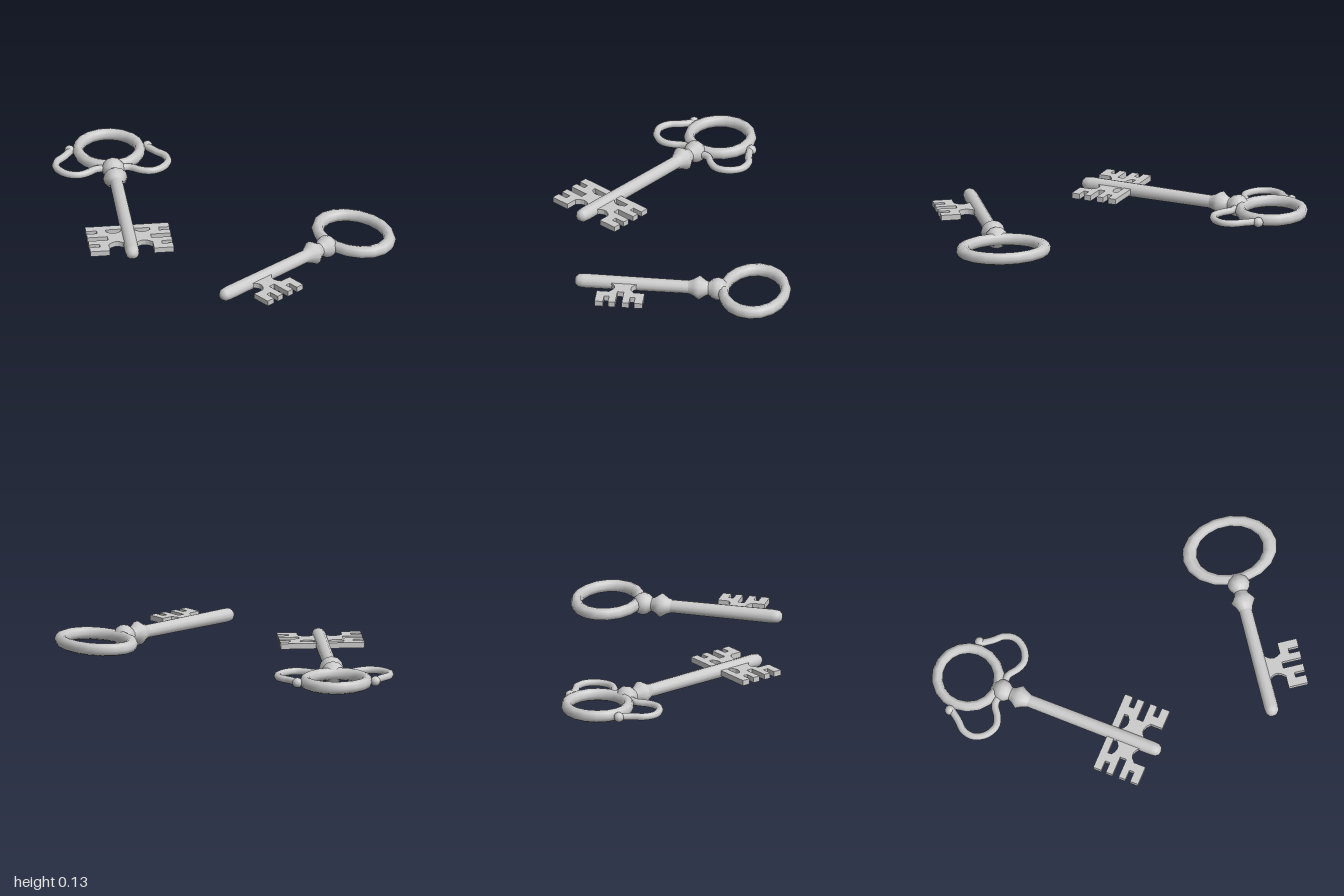
import * as THREE from 'three';

const material = new THREE.MeshStandardMaterial({ color: 0xcccccc });
const MID = 0.069; // height of the key axis above the ground

function addMesh(parent, name, geometry) {
  const mesh = new THREE.Mesh(geometry, material);
  mesh.name = name;
  parent.add(mesh);
  return mesh;
}

// Flat plate drawn in (across, along) coordinates, lying in the ground plane
function plate(shape, thickness) {
  const g = new THREE.ExtrudeGeometry(shape, { depth: thickness, bevelEnabled: false, curveSegments: 5 });
  return g.rotateX(Math.PI / 2).translate(0, thickness / 2, 0);
}

// Toothed bit on one side of the shaft: flared neck, then four teeth
function bitShape(side, start) {
  const s = new THREE.Shape();
  const X = (u) => side * u;
  s.moveTo(X(0), start + 0.04);
  s.lineTo(X(0.03), start + 0.05);
  s.quadraticCurveTo(X(0.07), start + 0.1, X(0.117), start + 0.06);
  const outline = [
    [0.117, 0], [0.222, 0], [0.222, 0.045], [0.165, 0.045], [0.165, 0.072],
    [0.222, 0.072], [0.222, 0.11], [0.115, 0.11], [0.115, 0.145], [0.222, 0.145],
    [0.222, 0.183], [0.165, 0.183], [0.165, 0.21], [0.222, 0.21], [0.222, 0.255],
    [0.117, 0.255], [0.117, 0.19],
  ];
  for (const [u, d] of outline) s.lineTo(X(u), start + d);
  s.quadraticCurveTo(X(0.07), start + 0.14, X(0.03), start + 0.19);
  s.lineTo(X(0), start + 0.2);
  return s;
}

// Key with its ring at the origin and its shaft running along +z
function makeKey({ name, length, bowWidth, bitStart, sides }) {
  const key = new THREE.Group();
  key.name = name;

  // Ring handle
  const ring = new THREE.TorusGeometry(0.164, 0.029, 8, 18);
  ring.rotateX(Math.PI / 2).scale(bowWidth, 1.18, 1);
  addMesh(key, 'ringHandle', ring);

  // Bead, collar and shaft with a rounded tip
  const turned = (pts) =>
    new THREE.LatheGeometry(pts.map(([r, d]) => new THREE.Vector2(r, d)), 12).rotateX(Math.PI / 2);
  addMesh(key, 'bead', turned([
    [0, 0.14], [0.032, 0.147], [0.054, 0.17], [0.061, 0.195], [0.054, 0.22], [0.034, 0.245], [0.034, 0.27],
  ]));
  addMesh(key, 'collar', turned([[0.034, 0.24], [0.042, 0.26], [0.065, 0.293], [0.045, 0.325], [0.036, 0.35]]));
  addMesh(key, 'shaft', turned([
    [0.035, 0.33], [0.038, length - 0.05], [0.034, length - 0.02], [0.02, length - 0.003], [0, length],
  ]));

  // Bits
  for (const side of sides) addMesh(key, 'bit', plate(bitShape(side, bitStart), 0.03));
  return key;
}

// Side loops beside the ring, each ending in a small knob
function addSideLoops(key) {
  const path = [
    [0.2, -0.015], [0.245, 0.045], [0.285, 0.088], [0.297, 0.15], [0.26, 0.212],
    [0.197, 0.24], [0.143, 0.225], [0.09, 0.19], [0.03, 0.19],
  ];
  for (const side of [1, -1]) {
    const curve = new THREE.CatmullRomCurve3(path.map(([u, d]) => new THREE.Vector3(side * u, 0, d)));
    addMesh(key, 'sideLoop', new THREE.TubeGeometry(curve, 28, 0.02, 8));
    const knob = new THREE.SphereGeometry(0.027, 10, 8);
    addMesh(key, 'loopKnob', knob).position.set(side * 0.207, 0, -0.02);
  }
}

export function createModel() {
  const model = new THREE.Group();
  model.name = 'pairOfKeys';

  // Double-bitted key with side loops
  const ornate = makeKey({ name: 'ornateKey', length: 1.1, bowWidth: 1, bitStart: 0.805, sides: [1, -1] });
  addSideLoops(ornate);
  const bar = new THREE.BoxGeometry(0.43, 0.03, 0.04);
  addMesh(ornate, 'bitCrossbar', bar).position.set(0.004, 0, 0.825);
  ornate.position.set(-0.79, MID, -0.45);
  ornate.rotation.y = Math.atan2(0.563, 0.826);
  model.add(ornate);

  // Single-bitted key with a wide oval ring
  const plain = makeKey({ name: 'plainKey', length: 0.955, bowWidth: 1.32, bitStart: 0.57, sides: [1] });
  plain.position.set(0.755, MID, -0.283);
  plain.rotation.y = Math.atan2(-0.334, 0.942);
  model.add(plain);

  return model;
}
